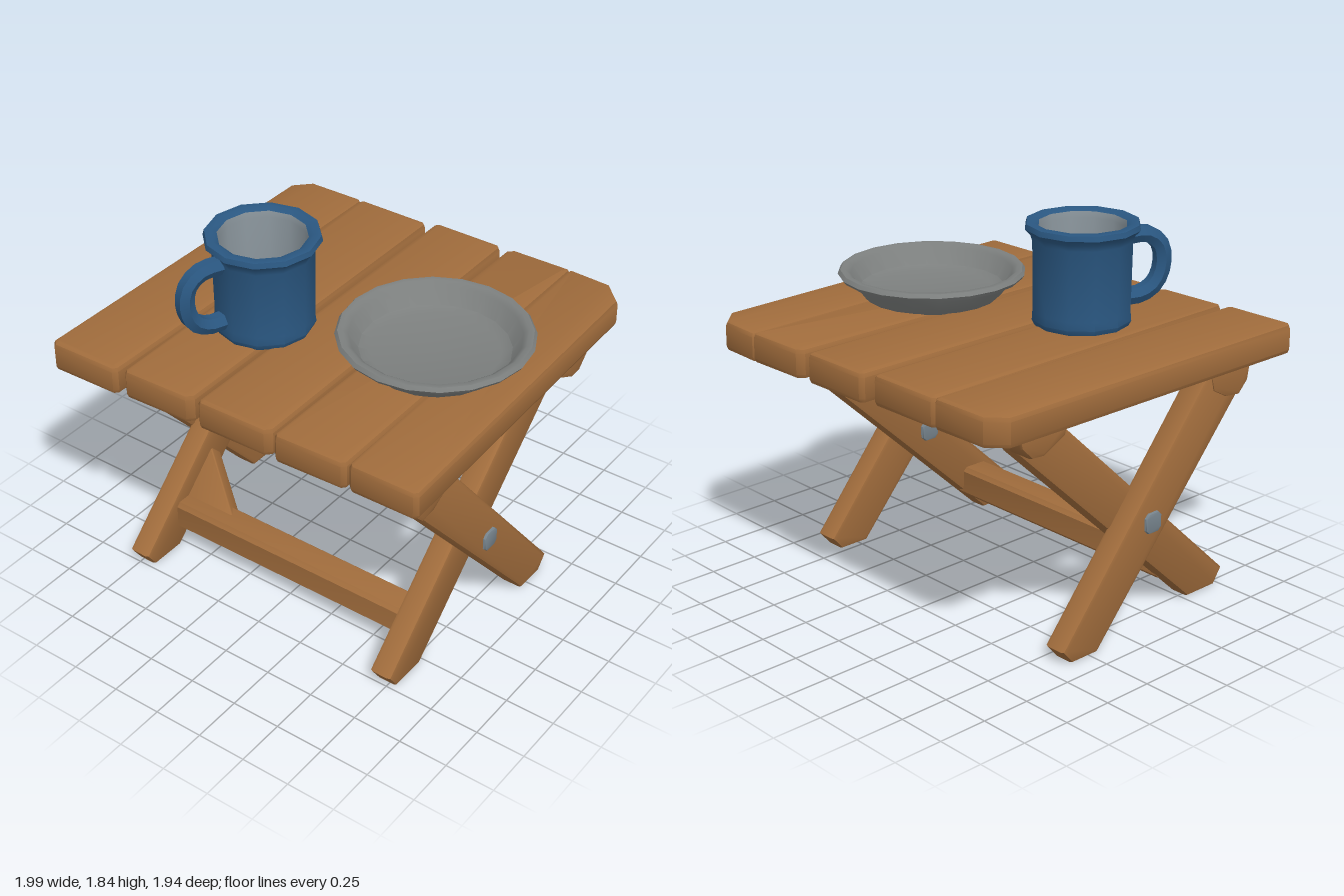
import * as THREE from 'three';
import { toCreasedNormals } from 'three/addons/utils/BufferGeometryUtils.js';

const mat = (name, color, side = THREE.FrontSide) => {
  const m = new THREE.MeshStandardMaterial({ color, side });
  m.name = name;
  return m;
};

export function createModel() {
  const wood = mat('wood', 0xa06c3c);
  const blue = mat('blue enamel', 0x2a5781);
  const grey = mat('grey metal', 0x7c7f7e);
  const steel = mat('bolt steel', 0x76838c);
  const lining = mat('mug lining', 0x8a959c, THREE.DoubleSide);
  const white = mat('mug floor', 0xd6d0ca, THREE.DoubleSide);

  const model = new THREE.Group();
  model.name = 'foldingTable';

  const add = (name, geo, material, parent = model) => {
    const mesh = new THREE.Mesh(toCreasedNormals(geo, 0.75), material);
    mesh.name = name;
    parent.add(mesh);
    return mesh;
  };

  // Bevelled slab whose outer size matches the outline and depth exactly
  const slab = (points, depth, bevel) => {
    const shape = new THREE.Shape(points.map(([x, y]) => new THREE.Vector2(x, y)));
    const geo = new THREE.ExtrudeGeometry(shape, {
      depth: depth - 2 * bevel, bevelThickness: bevel, bevelSize: bevel,
      bevelOffset: -bevel, bevelSegments: 2,
    });
    return geo.translate(0, 0, bevel);
  };

  // Cuts every corner of an outline by its own distance
  const cutCorners = (corners, cuts) => corners.flatMap((c, i) => {
    const p = new THREE.Vector2(...c);
    const toward = (q) => {
      const d = new THREE.Vector2(...q).sub(p).setLength(cuts[i]).add(p);
      return [d.x, d.y];
    };
    const n = corners.length;
    return [toward(corners[(i + n - 1) % n]), toward(corners[(i + 1) % n])];
  });

  // Table top: five uneven planks, corners as [x, z], back left round to front left
  const planks = [
    { c: [[-0.98, -0.91], [-0.59, -0.92], [-0.61, 0.96], [-1, 0.97]], cut: [0.08, 0.02, 0.02, 0.03] },
    { c: [[-0.6, -0.92], [-0.195, -0.925], [-0.195, 0.93], [-0.58, 0.945]], cut: [0.02, 0.02, 0.03, 0.02] },
    { c: [[-0.16, -0.955], [0.225, -0.96], [0.235, 0.92], [-0.165, 0.93]], cut: [0.02, 0.02, 0.03, 0.02] },
    { c: [[0.265, -0.965], [0.61, -0.975], [0.63, 0.91], [0.255, 0.925]], cut: [0.03, 0.01, 0.02, 0.02] },
    { c: [[0.605, -0.975], [0.93, -0.965], [0.995, 0.9], [0.64, 0.905]], cut: [0.01, 0.1, 0.02, 0.02] },
  ];
  for (const { c, cut } of planks) {
    const outline = cutCorners(c.map(([x, z]) => [x, -z]), cut);
    const geo = slab(outline, 0.15, 0.025).rotateX(-Math.PI / 2).translate(0, 1.21, 0);
    add('plank', geo, wood);
  }

  // Side parts: outlines as [z, y], spanning x0..x1, repeated on both sides
  const sidePair = (name, outline, x0, x1, bevel, material = wood) => {
    for (const start of [x0, -x1]) {
      const geo = slab(outline.map(([z, y]) => [-z, y]), x1 - x0, bevel);
      add(name, geo.rotateY(Math.PI / 2).translate(start, 0, 0), material);
    }
  };
  sidePair('outerLeg', [[-0.2, 0.01], [-0.36, 0.01], [-0.42, 0.08], [0.52, 1.215], [0.76, 1.215], [0.71, 1.05]],
    0.77, 0.895, 0.02);
  sidePair('innerLeg', [[0.53, 0.01], [0.72, 0.01], [0.775, 0.09], [-0.42, 1.215], [-0.66, 1.215], [-0.6, 1.06]],
    0.67, 0.79, 0.02);
  sidePair('frontCleat', [[0.5, 1.215], [0.53, 1.1], [0.62, 1.05], [0.71, 1.04], [0.77, 1.1], [0.79, 1.215]],
    0.74, 0.905, 0.02);
  sidePair('backCleat', [[-0.4, 1.215], [-0.42, 1.14], [-0.55, 1.075], [-0.62, 1.08], [-0.68, 1.14], [-0.7, 1.215]],
    0.74, 0.895, 0.02);
  sidePair('pivotBolt', cutCorners([[0.19, 0.51], [0.19, 0.61], [0.09, 0.61], [0.09, 0.51]], [0.02, 0.02, 0.02, 0.02]),
    0.65, 0.91, 0.008, steel);

  // Rails joining the inner legs
  const rail = (name, y, h, z, d) => {
    const o = cutCorners([[-d / 2, -h / 2], [d / 2, -h / 2], [d / 2, h / 2], [-d / 2, h / 2]], [0.02, 0.02, 0.02, 0.02]);
    add(name, slab(o, 1.42, 0.01).rotateY(Math.PI / 2).translate(-0.71, y, z), wood);
  };
  rail('upperRail', 1.142, 0.135, -0.5, 0.2);
  rail('lowerRail', 0.2, 0.155, 0.46, 0.16);

  // Corner gussets lying along the slope of the inner legs
  const gusset = (name, pts, y, z) => {
    const mesh = add(name, slab(pts, 0.1, 0.01).translate(0, 0, -0.05), wood);
    mesh.position.set(0, y, z);
    mesh.rotation.x = -0.82;
  };
  gusset('lowerGusset', [[-0.7, 0], [-0.38, 0.05], [-0.69, 0.34]], 0.2, 0.46);
  gusset('upperGusset', [[-0.7, 0], [-0.7, -0.2], [-0.6, 0]], 1.13, -0.48);
  gusset('upperGusset', [[0.7, 0], [0.6, 0], [0.7, -0.2]], 1.13, -0.48);

  const lathe = (pts, sides) => new THREE.LatheGeometry(pts.map(([r, y]) => new THREE.Vector2(r, y)), sides);

  // Enamel mug with rolled rim
  const mug = new THREE.Group();
  mug.name = 'mug';
  mug.position.set(-0.3, 1.355, 0.26);
  model.add(mug);
  add('mugBody', lathe([[0, 0], [0.225, 0], [0.24, 0.03], [0.235, 0.07], [0.24, 0.41], [0.25, 0.44], [0.275, 0.465],
    [0.268, 0.49], [0.235, 0.495], [0.21, 0.48]], 12), blue, mug);
  add('mugLining', lathe([[0.205, 0.04], [0.205, 0.45], [0.21, 0.48]], 12), lining, mug);
  add('mugFloor', new THREE.CircleGeometry(0.207, 12).rotateX(-Math.PI / 2).translate(0, 0.045, 0), white, mug);

  // Handle: points as [distance from axis, height]
  const path = new THREE.CatmullRomCurve3(
    [[0.2, 0.395], [0.33, 0.395], [0.4, 0.34], [0.415, 0.24], [0.38, 0.15], [0.31, 0.105], [0.2, 0.1]]
      .map(([r, y]) => new THREE.Vector3(0, y, r)));
  const handle = add('mugHandle', new THREE.TubeGeometry(path, 14, 0.045, 6), blue, mug);
  handle.rotation.y = -0.35;

  // Metal plate with a rolled edge
  const plate = add('plate', lathe([[0, 0], [0.32, 0], [0.345, 0.025], [0.4, 0.1], [0.445, 0.107], [0.458, 0.125],
    [0.445, 0.143], [0.42, 0.143], [0.395, 0.125], [0.35, 0.05], [0.3, 0.035], [0, 0.035]], 20), grey);
  plate.position.set(0.49, 1.355, 0.02);

  return model;
}
